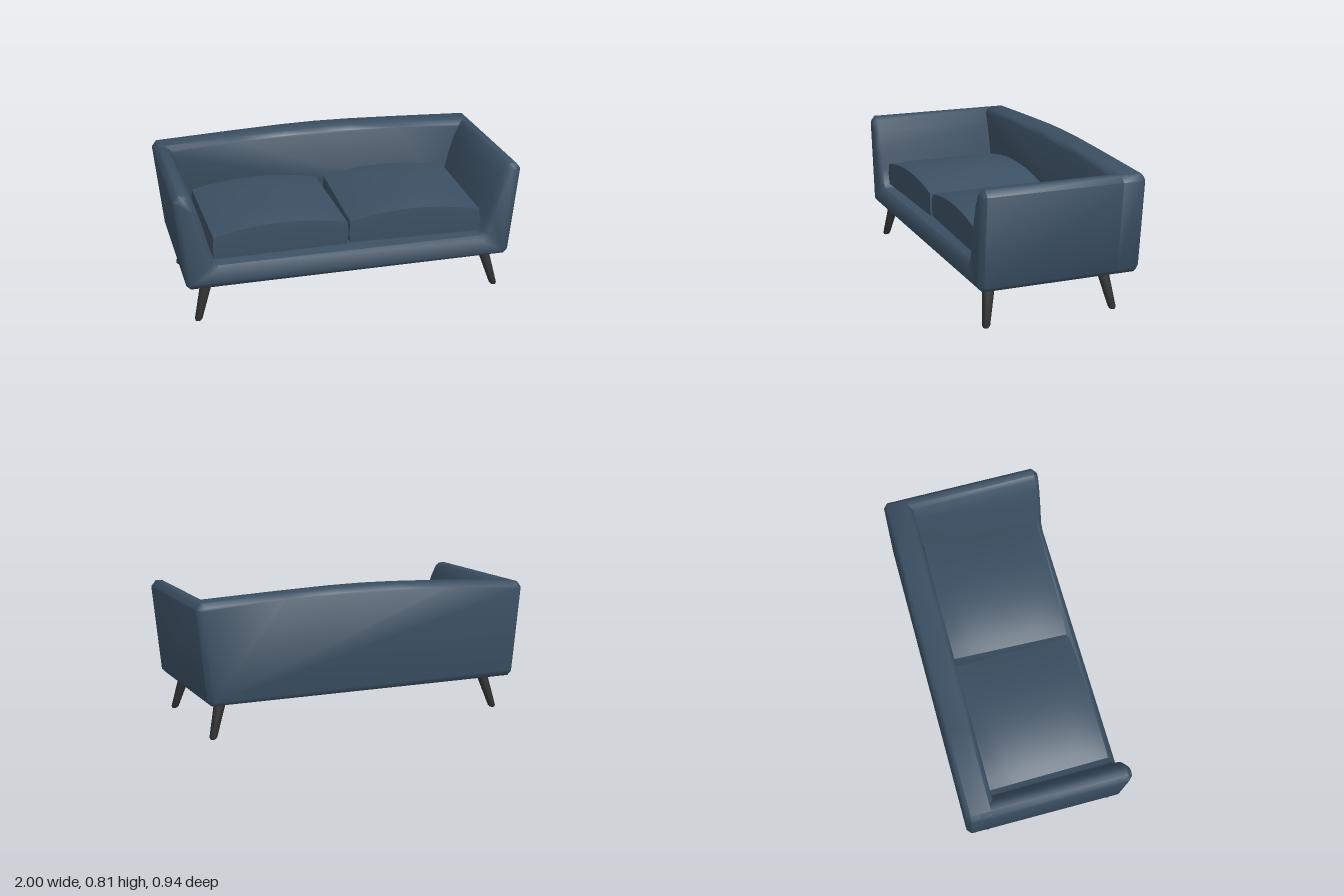
import * as THREE from 'three';
import { toCreasedNormals } from 'three/addons/utils/BufferGeometryUtils.js';

const BEVEL = 0.025;
const CREASE = 0.9;

// Closed outline from its right half (listed bottom to top/centre), mirrored in x.
function mirroredShape(half) {
  const pts = half.map(([x, y]) => new THREE.Vector2(x, y));
  for (const [x, y] of [...half].reverse()) if (x > 0) pts.push(new THREE.Vector2(-x, y));
  return new THREE.Shape(pts);
}

// Chamfered slab between two z positions, true to the outline in the middle.
function slab(shape, zBack, zFront) {
  const geo = new THREE.ExtrudeGeometry(shape, {
    depth: zFront - zBack - 2 * BEVEL, bevelEnabled: true, bevelSegments: 1,
    bevelThickness: BEVEL, bevelSize: BEVEL, bevelOffset: -BEVEL,
  });
  geo.translate(0, 0, zBack + BEVEL);
  return toCreasedNormals(geo, CREASE);
}

// Box pillowed on top, with slightly lifted bottom edges.
function cushionGeometry(w, d) {
  const geo = new THREE.BoxGeometry(w, 2, d, 10, 2, 10);
  const p = geo.attributes.position;
  for (let i = 0; i < p.count; i++) {
    const u = (2 * p.getX(i)) / w, v = (2 * p.getZ(i)) / d;
    const top = 0.5 + (1 - u * u) * (0.045 + 0.025 * (1 - v ** 4));
    const bottom = 0.345 + 0.022 * Math.max(u ** 8, v ** 8);
    const t = (p.getY(i) + 1) / 2;
    p.setY(i, bottom + (top - bottom) * t);
    // Outer rims pull in a touch so the sides bulge
    if (t !== 0.5) {
      p.setX(i, p.getX(i) * (1 - 0.012 * u ** 8));
      p.setZ(i, p.getZ(i) * (1 - 0.012 * v ** 8));
    }
  }
  return toCreasedNormals(geo, CREASE);
}

// Tapered round leg sheared from its foot to its top.
function legGeometry(foot, top) {
  const h = 0.24;
  const profile = [[0, 0], [0.015, 0], [0.022, 0.012], [0.036, h], [0, h]];
  const geo = new THREE.LatheGeometry(profile.map(([r, y]) => new THREE.Vector2(r, y)), 12);
  const p = geo.attributes.position;
  for (let i = 0; i < p.count; i++) {
    const t = p.getY(i) / h;
    p.setX(i, p.getX(i) + foot[0] + (top[0] - foot[0]) * t);
    p.setZ(i, p.getZ(i) + foot[1] + (top[1] - foot[1]) * t);
  }
  return toCreasedNormals(geo, CREASE);
}

export function createModel() {
  const sofa = new THREE.Group();
  sofa.name = 'sofa';
  const fabric = new THREE.MeshStandardMaterial({ color: 0x3b5063 });
  const legMaterial = new THREE.MeshStandardMaterial({ color: 0x333333 });
  const add = (name, geo, mat) => {
    const mesh = new THREE.Mesh(geo, mat);
    mesh.name = name;
    sofa.add(mesh);
    return mesh;
  };

  // Flared outer side shared by the arms and the back
  const outer = [[0.925, 0.215], [0.95, 0.24], [1, 0.745], [0.972, 0.78]];

  // Base and both arms as one U-shaped section
  const arms = mirroredShape([
    ...outer, [0.935, 0.78], [0.91, 0.762], [0.875, 0.69], [0.84, 0.57],
    [0.815, 0.46], [0.793, 0.37], [0.77, 0.345],
  ]);
  add('baseAndArms', slab(arms, -0.42, 0.47), fabric);

  // Backrest, rising gently to the middle
  const back = mirroredShape([...outer, [0.5, 0.801], [0.2, 0.812], [0, 0.815]]);
  add('backrest', slab(back, -0.47, -0.305), fabric);

  // Two loose seat cushions, each slightly askew
  const cushion = cushionGeometry(0.78, 0.715);
  for (const [name, x, turn] of [['rightCushion', -0.403, 0.012], ['leftCushion', 0.401, -0.034]]) {
    const mesh = add(name, cushion, fabric);
    mesh.position.set(x, 0, 0.053);
    mesh.rotation.y = turn;
  }

  // Splayed legs
  for (const s of [1, -1]) {
    const side = s > 0 ? 'Left' : 'Right';
    add('front' + side + 'Leg', legGeometry([s * 0.888, 0.411], [s * 0.82, 0.367]), legMaterial);
    add('rear' + side + 'Leg', legGeometry([s * 0.888, -0.34], [s * 0.82, -0.296]), legMaterial);
  }
  return sofa;
}
